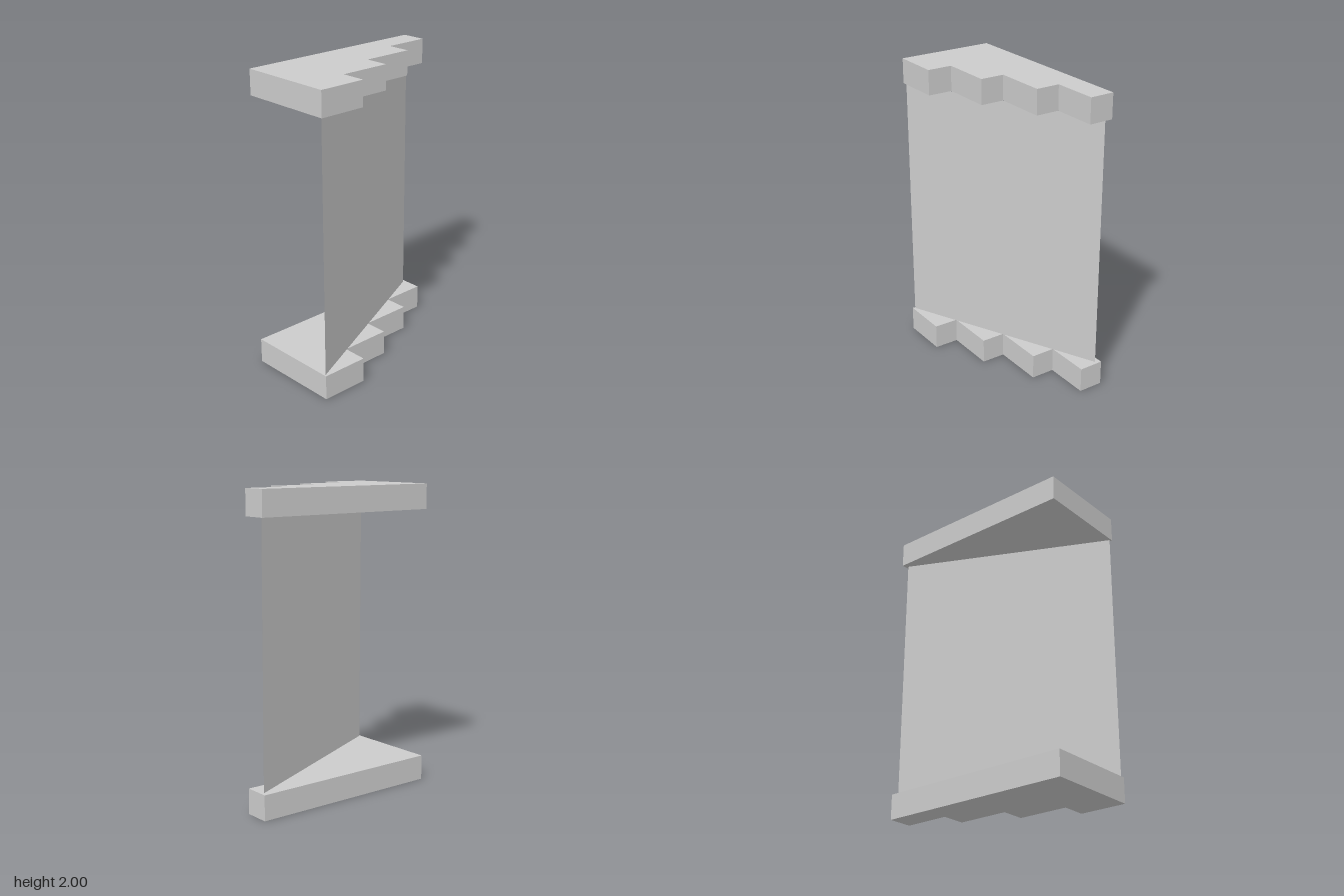
import * as THREE from 'three';

export function createModel() {
  const model = new THREE.Group();
  const material = new THREE.MeshStandardMaterial({
    color: 0xcccccc, flatShading: true, side: THREE.DoubleSide,
  });

  // Stepped outline of a slab, as [x, z] corners
  const outline = [
    [-0.66, -0.325], [0.66, -0.325], [0.66, -0.16], [0.355, -0.16], [0.355, 0],
    [0.005, 0], [0.005, 0.16], [-0.34, 0.16], [-0.34, 0.325], [-0.66, 0.325],
  ];
  const thickness = 0.165;
  const shape = new THREE.Shape(outline.map(([x, z]) => new THREE.Vector2(x, -z)));
  const slabGeometry = new THREE.ExtrudeGeometry(shape, { depth: thickness, bevelEnabled: false });
  slabGeometry.rotateX(-Math.PI / 2);

  // Matching slabs at the bottom and the top
  for (const [name, y] of [['bottomSlab', 0], ['topSlab', 2 - thickness]]) {
    const slab = new THREE.Mesh(slabGeometry, material);
    slab.name = name;
    slab.position.y = y;
    model.add(slab);
  }

  // Thin upright panel running diagonally between the slabs
  const [x0, z0, x1, z1] = [-0.65, 0.31, 0.64, -0.29];
  const panel = new THREE.Mesh(
    new THREE.PlaneGeometry(Math.hypot(x1 - x0, z1 - z0), 2 - 2 * thickness), material);
  panel.name = 'diagonalPanel';
  panel.position.set((x0 + x1) / 2, 1, (z0 + z1) / 2);
  panel.rotation.y = Math.atan2(z0 - z1, x1 - x0);
  model.add(panel);

  return model;
}
